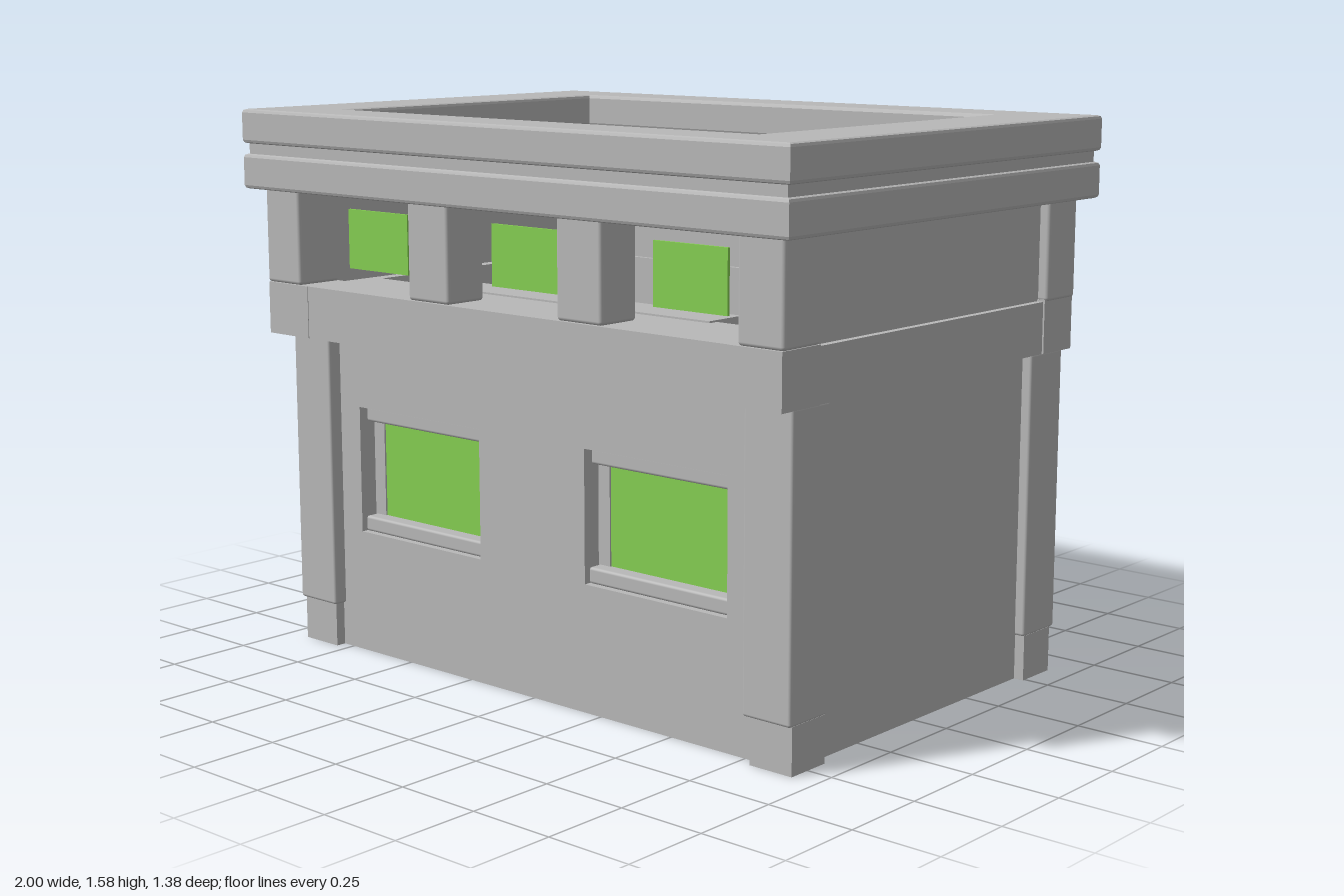
import * as THREE from 'three';
import { RoundedBoxGeometry } from 'three/addons/geometries/RoundedBoxGeometry.js';

export function createModel() {
  const model = new THREE.Group();
  model.name = 'building';
  const stone = new THREE.MeshStandardMaterial({ name: 'stone grey', color: 0xb8b8b8 });
  const glass = new THREE.MeshStandardMaterial({ name: 'window green', color: 0x86d052 });
  const dark = new THREE.MeshStandardMaterial({ name: 'dark floor', color: 0x474747 });

  const add = (name, geometry, material = stone) => {
    const mesh = new THREE.Mesh(geometry, material);
    mesh.name = name;
    model.add(mesh);
    return mesh;
  };
  // Box given by its limits on each axis, optionally with softened edges
  const block = (name, [x0, x1], [y0, y1], [z0, z1], radius = 0, material = stone) => {
    const size = [x1 - x0, y1 - y0, z1 - z0];
    const geo = radius ? new RoundedBoxGeometry(...size, 2, radius) : new THREE.BoxGeometry(...size);
    geo.translate((x0 + x1) / 2, (y0 + y1) / 2, (z0 + z1) / 2);
    return add(name, geo, material);
  };
  const mirrored = (name, [x0, x1], y, z, radius, material) => {
    block(name + 'Left', [x0, x1], y, z, radius, material);
    block(name + 'Right', [-x1, -x0], y, z, radius, material);
  };
  const rect = (path, x0, x1, y0, y1) => {
    path.moveTo(x0, y0);
    path.lineTo(x1, y0);
    path.lineTo(x1, y1);
    path.lineTo(x0, y1);
    path.closePath();
    return path;
  };
  // Horizontal rectangular ring with a bevelled rim
  const ring = (name, [w, d], [iw, id], [y0, y1], bevel) => {
    const shape = rect(new THREE.Shape(), -w + bevel, w - bevel, -d + bevel, d - bevel);
    shape.holes.push(rect(new THREE.Path(), -iw - bevel, iw + bevel, -id - bevel, id + bevel));
    const geo = new THREE.ExtrudeGeometry(shape, {
      depth: y1 - y0 - 2 * bevel, bevelEnabled: bevel > 0,
      bevelThickness: bevel, bevelSize: bevel, bevelSegments: 2,
    });
    geo.rotateX(-Math.PI / 2).translate(0, y0 + bevel, 0);
    add(name, geo);
  };

  // Floor: dark on its upper face only
  block('floor', [-0.88, 0.88], [0.004, 0.012], [-0.61, 0.52], 0,
    [stone, stone, dark, stone, stone, stone]);

  // Plinth with corner blocks
  mirrored('plinthFrontBlock', [0.79, 0.925], [0, 0.13], [0.43, 0.565]);
  mirrored('plinthBackBlock', [0.79, 0.925], [0, 0.13], [-0.62, -0.49]);
  mirrored('plinthSide', [0.8, 0.895], [0, 0.13], [-0.5, 0.44]);
  block('plinthFront', [-0.8, 0.8], [0, 0.13], [0.43, 0.535]);
  block('plinthBack', [-0.8, 0.8], [0, 0.13], [-0.612, -0.52]);

  // Lower storey posts and walls
  mirrored('lowerFrontPost', [0.775, 0.93], [0.13, 0.935], [0.43, 0.58], 0.008);
  mirrored('lowerBackPost', [0.775, 0.93], [0.13, 0.935], [-0.635, -0.48], 0.008);
  mirrored('lowerSideWall', [0.79, 0.9], [0.13, 0.935], [-0.49, 0.44]);
  block('lowerBackWall', [-0.78, 0.78], [0.13, 0.935], [-0.625, -0.52]);

  // Front wall with two window openings
  const wall = rect(new THREE.Shape(), -0.78, 0.78, 0.13, 0.935);
  for (const s of [-1, 1]) {
    const c = s * 0.446;
    wall.holes.push(rect(new THREE.Path(), c - 0.247, c + 0.247, 0.36, 0.73));
  }
  add('lowerFrontWall',
    new THREE.ExtrudeGeometry(wall, { depth: 0.11, bevelEnabled: false }).translate(0, 0, 0.43));

  // Lower windows: pane, jambs, lintel and sill
  mirrored('lowerPane', [0.238, 0.652], [0.4, 0.69], [0.472, 0.48], 0, glass);
  mirrored('innerJamb', [0.199, 0.24], [0.36, 0.73], [0.44, 0.485]);
  mirrored('outerJamb', [0.65, 0.693], [0.36, 0.73], [0.44, 0.485]);
  mirrored('lintel', [0.199, 0.693], [0.685, 0.73], [0.44, 0.515], 0.008);
  mirrored('sill', [0.199, 0.693], [0.36, 0.405], [0.44, 0.525], 0.008);

  // Belt course between the storeys
  mirrored('beltFrontBlock', [0.78, 0.95], [0.935, 1.085], [0.5, 0.65]);
  mirrored('beltBackBlock', [0.78, 0.95], [0.935, 1.085], [-0.645, -0.505]);
  mirrored('beltSide', [0.78, 0.945], [0.935, 1.08], [-0.51, 0.51]);
  block('beltFront', [-0.79, 0.79], [0.935, 1.085], [0.39, 0.648]);
  block('beltBack', [-0.79, 0.79], [0.935, 1.08], [-0.642, -0.515]);
  block('innerLedge', [-0.53, 0.53], [0.96, 1.09], [0.29, 0.42]);

  // Upper storey posts, pillars and walls
  mirrored('upperFrontPost', [0.81, 0.955], [1.085, 1.36], [0.505, 0.65], 0.01);
  mirrored('upperBackPost', [0.81, 0.955], [1.08, 1.36], [-0.65, -0.51], 0.01);
  mirrored('frontPillar', [0.202, 0.36], [1.085, 1.36], [0.51, 0.645], 0.01);
  mirrored('upperSideWall', [0.82, 0.925], [1.08, 1.36], [-0.52, 0.515]);
  block('upperBackWall', [-0.82, 0.82], [1.08, 1.36], [-0.63, -0.53]);

  // Upper window panes
  for (const x of [-0.582, -0.002, 0.578]) {
    block('upperPane', [x - 0.123, x + 0.123], [1.135, 1.305], [0.546, 0.554], 0, glass);
  }

  // Cornice: two bands with a groove between them
  ring('corniceLower', [0.998, 0.69], [0.765, 0.515], [1.355, 1.455], 0.01);
  ring('corniceGroove', [0.985, 0.678], [0.775, 0.525], [1.45, 1.49], 0);
  ring('corniceUpper', [1, 0.69], [0.76, 0.51], [1.485, 1.583], 0.01);

  return model;
}
